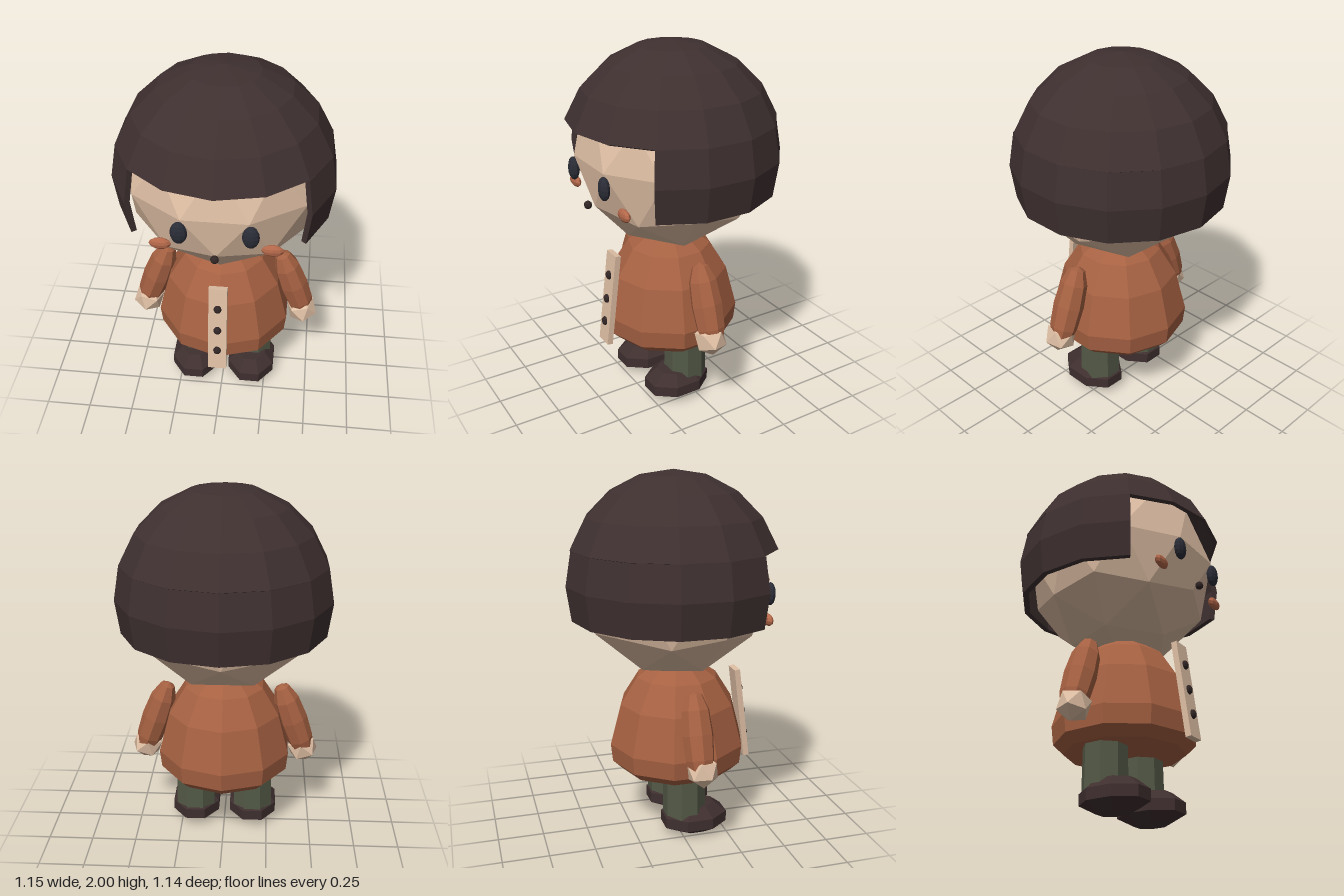
import * as THREE from 'three';

const mat = (name, color, side = THREE.FrontSide) =>
  Object.assign(new THREE.MeshStandardMaterial({ color, flatShading: true, side }), { name });

export function createModel() {
  const hair = mat('dark brown hair', 0x3f3030, THREE.DoubleSide);
  const skin = mat('skin', 0xdfbfa4);
  const coat = mat('rust coat', 0xa66142);
  const cheek = mat('cheek', 0xb4684a);
  const trousers = mat('olive trousers', 0x535947);
  const leather = mat('shoe brown', 0x3f2f2f);
  const eyeDark = mat('eye', 0x2b2d37);
  const buttonDark = mat('button', 0x322626);

  const model = new THREE.Group();
  model.name = 'character';

  const add = (name, geo, material, pos = [0, 0, 0], scale = [1, 1, 1], rot = [0, 0, 0]) => {
    const mesh = new THREE.Mesh(geo, material);
    mesh.name = name;
    mesh.position.set(...pos);
    mesh.scale.set(...scale);
    mesh.rotation.set(...rot);
    model.add(mesh);
    return mesh;
  };
  const points = (list) => list.map(([r, y]) => new THREE.Vector2(r, y));
  const lathe = (list, sides, start = 0, sweep = Math.PI * 2) =>
    new THREE.LatheGeometry(points(list), sides, start, sweep);

  // Faceted ball standing on one of its corners
  const ball = (detail) =>
    new THREE.IcosahedronGeometry(1, detail).rotateX(Math.atan((1 + Math.sqrt(5)) / 2));

  // Head
  add('head', ball(1), skin, [0, 1.42, 0.012], [0.54, 0.525, 0.515]);

  // Hair: shells cut from one sphere, with an inner and an outer wall
  const arc = (from, to, steps, radius, height) =>
    Array.from({ length: steps + 1 }, (_, i) => {
      const a = from + ((to - from) * i) / steps;
      return [radius * Math.sin(a), height * Math.cos(a)];
    });
  const rim = 1.24;
  const capProfile = [...arc(rim, 0, 4, 0.572, 0.57), ...arc(0, rim, 4, 0.59, 0.6)].reverse();
  capProfile.push(capProfile[0]);
  add('hairCap', lathe(capProfile, 14), hair, [0, 1.4, 0.01]);

  const bandProfile = [...arc(rim, 1.875, 2, 0.59, 0.6), ...arc(1.875, rim, 2, 0.558, 0.6)];
  const step = (Math.PI * 2) / 14;
  const bandStart = step * 2, bandSweep = step * 10;
  const band = lathe([...bandProfile, bandProfile[0]], 10, bandStart, bandSweep);
  add('hairBand', band, hair, [0, 1.4, 0.015]);
  for (const angle of [bandStart, bandStart + bandSweep]) {
    const end = new THREE.ShapeGeometry(new THREE.Shape(points(bandProfile)));
    add('hairBandEnd', end, hair, [0, 1.4, 0.015], [1, 1, 1], [0, angle - Math.PI / 2, 0]);
  }

  // Coat
  const coatProfile = [
    [0, 0.35], [0.32, 0.35], [0.372, 0.4], [0.383, 0.5],
    [0.322, 0.73], [0.228, 0.88], [0.14, 0.94], [0, 0.945],
  ];
  add('coat', lathe(coatProfile, 10), coat, [0, 0, 0.03]);
  add('frontPanel', new THREE.BoxGeometry(0.1, 0.53, 0.032), skin,
    [0, 0.625, 0.406], [1, 1, 1], [-0.125, 0, 0]);

  const bead = new THREE.SphereGeometry(1, 8, 6);
  for (const y of [0.765, 0.625, 0.49]) {
    add('button', bead, buttonDark, [0, y, 0.425 - (y - 0.625) * 0.125], [0.022, 0.025, 0.018]);
  }
  add('nose', bead, buttonDark, [0, 1.2, 0.512], [0.022, 0.022, 0.022]);

  const sleeve = lathe([
    [0, -0.42], [0.06, -0.42], [0.078, -0.36], [0.086, -0.23], [0.076, -0.1], [0.045, -0.02], [0, 0],
  ], 8);
  const shoe = lathe([[0, 0.003], [0.5, 0.008], [1, 0.055], [1, 0.115], [0.62, 0.17], [0, 0.172]], 8);
  shoe.rotateY(Math.PI / 8);
  const leg = new THREE.CylinderGeometry(0.115, 0.12, 0.32, 8).rotateY(Math.PI / 8);

  // Mirrored parts
  for (const [side, s] of [['left', 1], ['right', -1]]) {
    add(side + 'Eye', new THREE.SphereGeometry(1, 10, 8), eyeDark,
      [s * 0.175, 1.345, 0.503], [0.043, 0.063, 0.028]);
    add(side + 'Cheek', bead, cheek, [s * 0.28, 1.23, 0.45], [0.057, 0.033, 0.022]);
    add(side + 'Sleeve', sleeve, coat, [s * 0.315, 0.88, 0.03], [0.95, 1, 1], [0, 0, s * 0.34]);
    add(side + 'Hand', ball(0), skin, [s * 0.45, 0.483, 0.04], [0.09, 0.09, 0.09], [0, 0, s * 0.3]);
    add(side + 'Leg', leg, trousers, [s * 0.167, 0.25, 0.025]);
    add(side + 'Shoe', shoe, leather, [s * 0.167, 0, 0.082], [0.145, 1, 0.19]);
  }
  return model;
}
